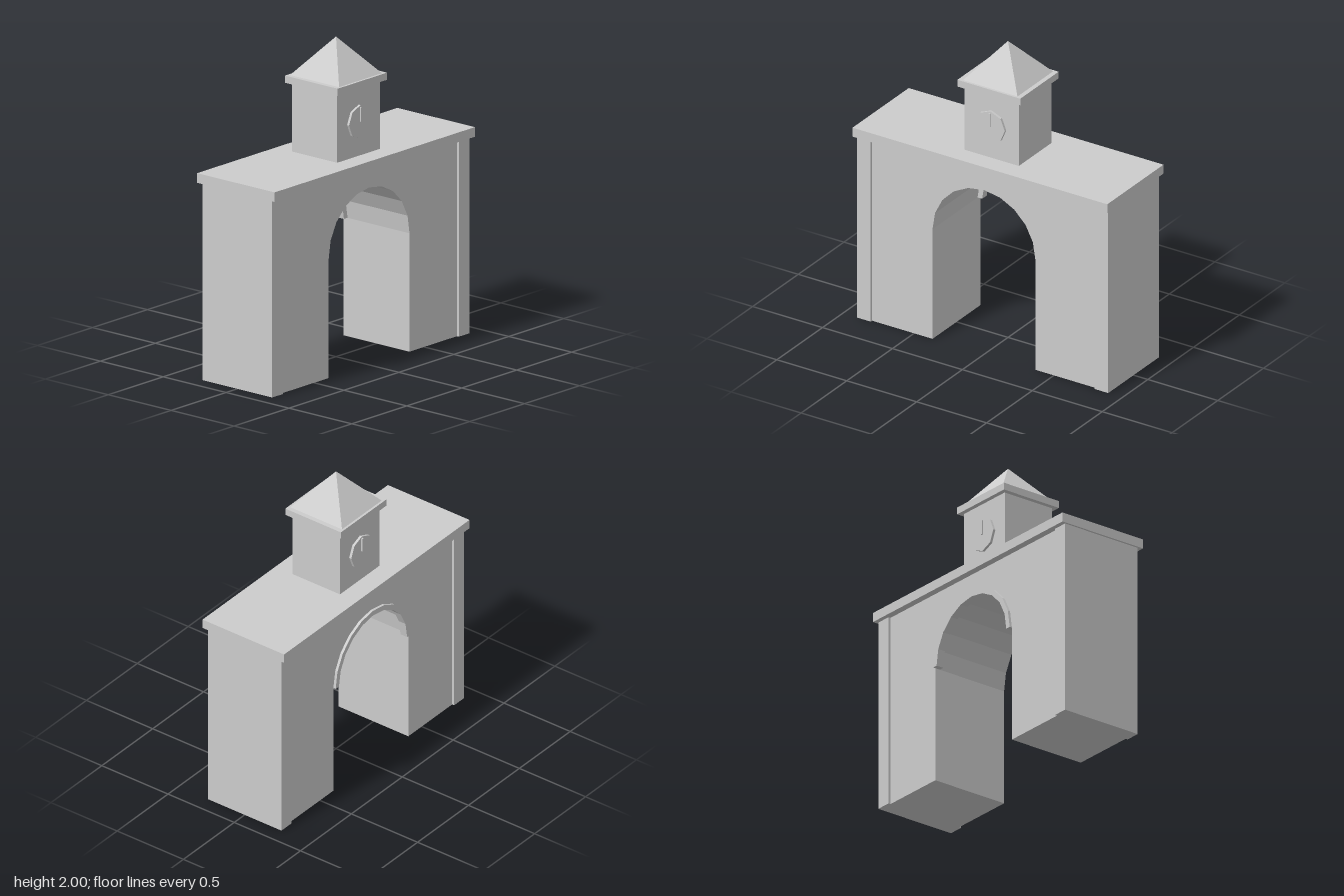
import * as THREE from 'three';

const stone = new THREE.MeshStandardMaterial({ color: 0xcccccc });
stone.name = 'pale grey stone';

const ARCH_R = 0.368, SPRING_Y = 0.74, ARCH_STEPS = 10;

// Points of a faceted half circle, from the +x springing to the -x one
function archPoints(radius) {
  return Array.from({ length: ARCH_STEPS + 1 }, (_, i) => {
    const a = (i / ARCH_STEPS) * Math.PI;
    return new THREE.Vector2(radius * Math.cos(a), SPRING_Y + radius * Math.sin(a));
  });
}

function add(parent, name, geometry, x = 0, y = 0, z = 0) {
  const mesh = new THREE.Mesh(geometry, stone);
  mesh.name = name;
  mesh.position.set(x, y, z);
  parent.add(mesh);
  return mesh;
}

// Box placed by the height of its underside
function block(parent, name, w, h, d, x, bottom, z = 0) {
  return add(parent, name, new THREE.BoxGeometry(w, h, d), x, bottom + h / 2, z);
}

function slab(points, depth) {
  return new THREE.ExtrudeGeometry(new THREE.Shape(points), { depth, bevelEnabled: false });
}

export function createModel() {
  const model = new THREE.Group();
  model.name = 'clockTowerGateway';
  const v = (x, y) => new THREE.Vector2(x, y);

  // Gate wall with the arched passage
  const outline = [
    v(0.8, 0), v(0.8, 1.23), v(-0.8, 1.23), v(-0.8, 0), v(-ARCH_R, 0),
    ...archPoints(ARCH_R).reverse(), v(ARCH_R, 0),
  ];
  add(model, 'gateWall', slab(outline, 0.526), 0, 0, -0.263);

  // Corner piers, standing slightly proud of the wall
  for (const s of [1, -1]) {
    block(model, s > 0 ? 'leftPier' : 'rightPier', 0.098, 1.23, 0.556, s * 0.849, 0);
  }

  // Arch trim on the rear opening
  const trim = [...archPoints(ARCH_R), ...archPoints(0.335).reverse()];
  add(model, 'archTrim', slab(trim, 0.05), 0, 0, -0.28);

  // Flat roof slab
  block(model, 'roofSlab', 1.822, 0.06, 0.616, 0, 1.23);

  // Tower, cornice and pyramid roof
  const tower = new THREE.Group();
  tower.name = 'tower';
  model.add(tower);
  block(tower, 'towerBody', 0.39, 0.43, 0.36, 0, 1.29);
  block(tower, 'towerCornice', 0.45, 0.045, 0.42, 0, 1.72);
  const roof = new THREE.ConeGeometry(0.195 * Math.SQRT2, 0.235, 4, 1).toNonIndexed();
  roof.rotateY(Math.PI / 4);
  roof.computeVertexNormals();
  add(tower, 'towerRoof', roof, 0, 1.8825, 0);

  // Octagonal clock faces, each with one upright hand
  const octagon = Array.from({ length: 8 }, (_, i) => {
    const a = (i * Math.PI) / 4;
    return v(0.105 * Math.cos(a), 0.105 * Math.sin(a));
  });
  for (const side of ['front', 'back']) {
    const clock = new THREE.Group();
    clock.name = side + 'Clock';
    clock.position.y = 1.505;
    clock.rotation.y = side === 'front' ? 0 : Math.PI;
    add(clock, 'clockFace', slab(octagon, 0.018), 0, 0, 0.178);
    block(clock, 'clockHand', 0.015, 0.09, 0.012, 0, 0.003, 0.198);
    tower.add(clock);
  }

  return model;
}
